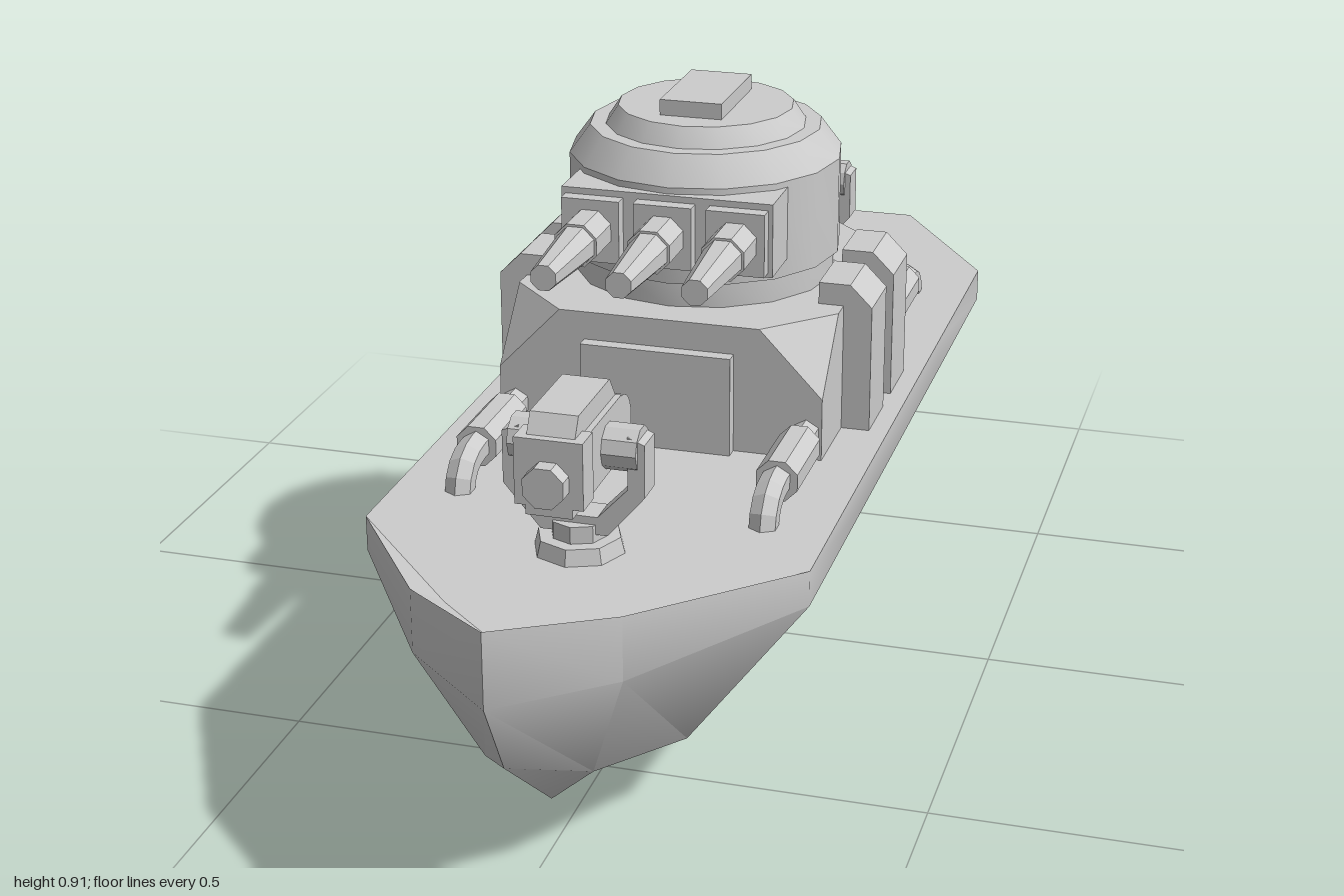
import * as THREE from 'three';
import { toCreasedNormals } from 'three/addons/utils/BufferGeometryUtils.js';
import { ConvexGeometry } from 'three/addons/geometries/ConvexGeometry.js';

const smooth = new THREE.MeshStandardMaterial({ color: 0xcccccc, side: THREE.DoubleSide });
const flat = new THREE.MeshStandardMaterial({ color: 0xcccccc, flatShading: true });

function add(parent, name, geometry, x = 0, y = 0, z = 0, material = flat) {
  const mesh = new THREE.Mesh(geometry, material);
  mesh.name = name;
  mesh.position.set(x, y, z);
  parent.add(mesh);
  return mesh;
}
// box given by its limits
function box(parent, name, x0, x1, y0, y1, z0, z1) {
  return add(parent, name, new THREE.BoxGeometry(x1 - x0, y1 - y0, z1 - z0),
    (x0 + x1) / 2, (y0 + y1) / 2, (z0 + z1) / 2);
}
// faceted cylinder along z
function rod(parent, name, rFront, rBack, z0, z1, x, y, sides = 8) {
  const g = new THREE.CylinderGeometry(rFront, rBack, z1 - z0, sides);
  g.rotateY(Math.PI / sides).rotateX(Math.PI / 2);
  return add(parent, name, g, x, y, (z0 + z1) / 2);
}
function triangles(points) {
  const g = new THREE.BufferGeometry();
  g.setAttribute('position', new THREE.Float32BufferAttribute(points.flat(), 3));
  return g;
}
function polygon(points) {
  return new THREE.Shape(points.map(([x, y]) => new THREE.Vector2(x, y)));
}

function addHull(parent) {
  // stations from bow to stern: deck edge, knuckle, chine, keel
  const stations = [
    [[0, 0.475, 1], [0, 0.36, 1], [0, 0.235, 0.93], [0, 0.08, 0.74]],
    [[0.15, 0.455, 0.87], [0.15, 0.358, 0.87], [0.08, 0.165, 0.79], [0, 0.08, 0.74]],
    [[0.335, 0.41, 0.58], [0.335, 0.355, 0.58], [0.155, 0.115, 0.58], [0, 0.056, 0.58]],
    [[0.335, 0.41, 0.2], [0.335, 0.355, 0.2], [0.155, 0.08, 0.2], [0, 0, 0.2]],
    [[0.335, 0.41, -0.35], [0.335, 0.355, -0.35], [0.155, 0.08, -0.35], [0, 0, -0.35]],
    [[0.335, 0.41, -0.72], [0.335, 0.355, -0.72], [0.155, 0.13, -0.72], [0, 0.08, -0.72]],
    [[0.15, 0.41, -1], [0.15, 0.355, -1], [0.14, 0.2, -0.87], [0, 0.17, -0.82]],
  ];
  const mirror = ([x, y, z]) => [-x, y, z];
  const rings = stations.map(s => [...s, ...s.slice(0, 3).reverse().map(mirror)]);
  const tris = [];
  for (let i = 0; i < rings.length - 1; i++) {
    for (let j = 0; j < 6; j++) {
      const a = rings[i][j], b = rings[i][j + 1], c = rings[i + 1][j + 1], d = rings[i + 1][j];
      if (j < 3) tris.push(a, b, c, a, c, d);
      else tris.push(a, b, d, b, c, d);
    }
  }
  // stern plate, slanting forward below its upper band
  const p = rings[rings.length - 1];
  for (const [a, b, c] of [[0, 1, 5], [0, 5, 6], [1, 2, 3], [1, 3, 5], [3, 4, 5]]) tris.push(p[a], p[b], p[c]);
  add(parent, 'hull', toCreasedNormals(triangles(tris), 0.6), 0, 0, 0, smooth);

  // raised rim sloping down to the deck at the bow
  const outer = stations.slice(0, 3).map(s => s[0]);
  const inner = [[0, 0.41, 0.92], [0.125, 0.41, 0.81], [0.335, 0.41, 0.58]];
  const rim = [];
  for (let i = 0; i < 2; i++) {
    const side = [outer[i], outer[i + 1], inner[i], outer[i + 1], inner[i + 1], inner[i]];
    rim.push(...side, ...side.map(mirror).reverse());
  }
  const rimGeometry = triangles(rim);
  rimGeometry.computeVertexNormals();
  add(parent, 'bowRim', rimGeometry, 0, 0, 0, smooth);

  const half = [[0, -0.92], [0.125, -0.81], [0.335, -0.58], [0.335, 0.72], [0.15, 1]];
  const outline = [...half, ...half.slice(1).reverse().map(([x, y]) => [-x, y])];
  add(parent, 'deck', new THREE.ShapeGeometry(polygon(outline)).rotateX(-Math.PI / 2), 0, 0.41, 0, smooth);
}

function addDeckhouse(parent) {
  // block with its four upper corners cut off
  const pts = [];
  for (const sx of [-1, 1]) for (const sz of [-1, 1]) {
    for (const [x, y, z] of [[0.26, 0.41, 0.265], [0.26, 0.51, 0.265], [0.16, 0.615, 0.265], [0.26, 0.615, 0.165]]) {
      pts.push(new THREE.Vector3(sx * x, y, sz * z - 0.065));
    }
  }
  add(parent, 'deckhouse', new ConvexGeometry(pts));
  box(parent, 'frontPanel', -0.12, 0.12, 0.41, 0.57, 0.19, 0.222);
  box(parent, 'rearPanel', -0.14, 0.14, 0.41, 0.57, -0.352, -0.32);

  // two bevelled lockers on each side
  const profile = polygon([[0.22, 0.41], [0.305, 0.41], [0.305, 0.615], [0.27, 0.65], [0.22, 0.65]]);
  for (const z of [-0.2, -0.04]) {
    const g = new THREE.ExtrudeGeometry(profile, { depth: 0.105, bevelEnabled: false });
    add(parent, 'leftLocker', g, 0, 0, z);
    add(parent, 'rightLocker', g.clone().rotateY(Math.PI), 0, 0, z + 0.105);
  }
}

function addTurret(parent) {
  const turret = new THREE.Group();
  turret.name = 'turret';
  parent.add(turret);
  const profile = [[0.21, 0.61], [0.21, 0.655], [0.218, 0.655], [0.218, 0.81], [0.185, 0.855],
    [0.16, 0.855], [0.14, 0.885], [0, 0.885]].map(([r, y]) => new THREE.Vector2(r, y));
  const dome = toCreasedNormals(new THREE.LatheGeometry(profile, 16), 0.6);
  add(turret, 'turretBody', dome, 0, 0, -0.07, smooth);
  box(turret, 'hatch', -0.05, 0.05, 0.88, 0.91, -0.16, 0.02);
  box(turret, 'gunMantlet', -0.168, 0.168, 0.683, 0.8, 0, 0.155);
  for (const x of [-0.115, 0, 0.115]) {
    box(turret, 'gunBlock', x - 0.046, x + 0.046, 0.69, 0.79, 0.1, 0.178);
    rod(turret, 'barrelSleeve', 0.036, 0.036, 0.17, 0.25, x, 0.74);
    rod(turret, 'barrel', 0.021, 0.032, 0.25, 0.4, x, 0.74);
  }
}

// small gun on a forked pedestal; origin at the pedestal centre on the deck
function addDeckGun(parent, name, z) {
  const gun = new THREE.Group();
  gun.name = name;
  gun.position.set(0, 0.41, z);
  parent.add(gun);
  add(gun, 'base', new THREE.CylinderGeometry(0.062, 0.068, 0.024, 8), 0, 0.012, 0);
  add(gun, 'post', new THREE.CylinderGeometry(0.042, 0.042, 0.03, 8), 0, 0.035, 0);
  const fork = polygon([[-0.05, 0.035], [0.05, 0.035], [0.105, 0.1], [0.105, 0.18], [0.08, 0.19], [0.08, 0.11],
    [0.035, 0.062], [-0.035, 0.062], [-0.08, 0.11], [-0.08, 0.19], [-0.105, 0.18], [-0.105, 0.1]]);
  add(gun, 'fork', new THREE.ExtrudeGeometry(fork, { depth: 0.048, bevelEnabled: false }), 0, 0, -0.024);
  add(gun, 'pivot', new THREE.CylinderGeometry(0.034, 0.034, 0.19, 10).rotateZ(Math.PI / 2), 0, 0.165, 0);

  // receiver with a rounded rear end, drawn in the side plane
  const side = new THREE.Shape();
  side.moveTo(0.12, 0.12);
  side.lineTo(0.12, 0.215);
  side.lineTo(-0.065, 0.215);
  side.absarc(-0.065, 0.167, 0.046, Math.PI / 2, Math.PI * 1.5, false);
  const body = new THREE.ExtrudeGeometry(side, { depth: 0.088, bevelEnabled: false, curveSegments: 6 });
  add(gun, 'receiver', body.rotateY(-Math.PI / 2), 0.044, 0, 0);
  const lid = polygon([[0.12, 0.215], [0.1, 0.248], [-0.04, 0.248], [-0.065, 0.215]]);
  const lidGeometry = new THREE.ExtrudeGeometry(lid, { depth: 0.07, bevelEnabled: false });
  add(gun, 'lid', lidGeometry.rotateY(-Math.PI / 2), 0.035, 0, 0);
  box(gun, 'muzzleFrame', -0.05, 0.05, 0.12, 0.22, 0.085, 0.13);
  box(gun, 'lowerRail', -0.034, 0.034, 0.106, 0.13, 0.06, 0.13);
  rod(gun, 'muzzle', 0.032, 0.032, 0.12, 0.155, 0, 0.158);
}

// pipe running out of the deckhouse and bending down into the deck
function addPipe(parent, x, dir) {
  const at = d => -0.065 + dir * d;
  const path = new THREE.CurvePath();
  const v = (y, d) => new THREE.Vector3(x, y, at(d));
  path.add(new THREE.LineCurve3(v(0.452, 0.25), v(0.452, 0.455)));
  path.add(new THREE.QuadraticBezierCurve3(v(0.452, 0.455), v(0.452, 0.515), v(0.405, 0.52)));
  add(parent, 'pipe', new THREE.TubeGeometry(path, 14, 0.023, 6, false));
  const ends = [at(0.305), at(0.445)].sort((a, b) => a - b);
  rod(parent, 'pipeSleeve', 0.034, 0.034, ends[0], ends[1], x, 0.45);
}

export function createModel() {
  const model = new THREE.Group();
  model.name = 'gunboat';
  addHull(model);
  addDeckhouse(model);
  addTurret(model);
  addDeckGun(model, 'frontDeckGun', 0.595);
  addDeckGun(model, 'rearDeckGun', -0.685);
  for (const x of [-0.235, 0.235]) for (const dir of [-1, 1]) addPipe(model, x, dir);
  for (const x of [-0.07, 0.07]) rod(model, 'thruster', 0.062, 0.062, -0.967, -0.76, x, 0.235);
  return model;
}
